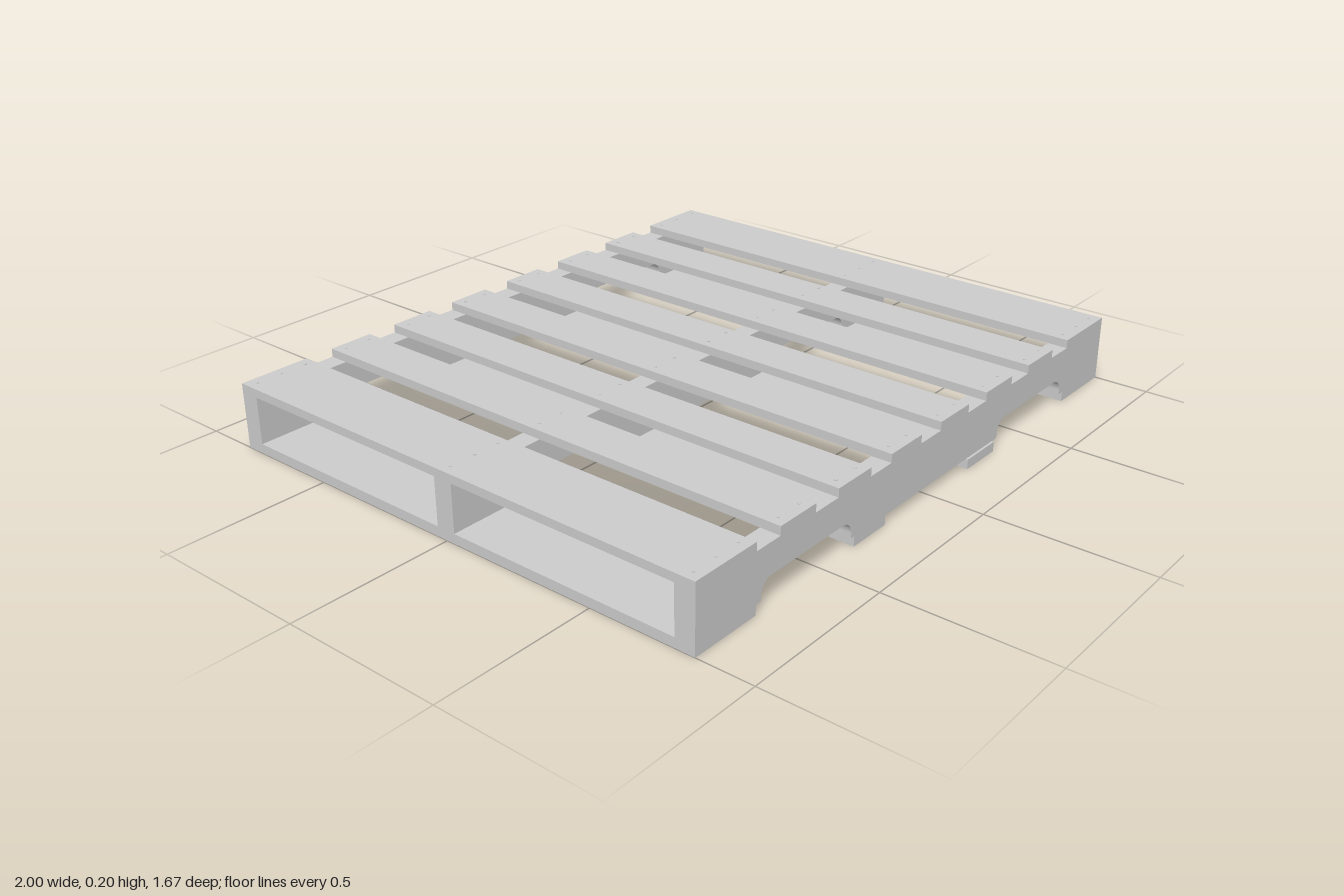
import * as THREE from 'three';

const material = new THREE.MeshStandardMaterial({ color: 0xcccccc });

// Heights of the three layers and the extent of the boards in z
const DECK_BOTTOM = 0.177, DECK_TOP = 0.203, BASE_TOP = 0.03;
const BACK = -0.835, FRONT = 0.828;
const STRINGER_WIDTH = 0.062;
const STRINGER_Z = [BACK + STRINGER_WIDTH / 2, -0.003, FRONT - STRINGER_WIDTH / 2];

function board(name, x0, x1, y0, y1, z0 = BACK, z1 = FRONT) {
  const mesh = new THREE.Mesh(new THREE.BoxGeometry(x1 - x0, y1 - y0, z1 - z0), material);
  mesh.position.set((x0 + x1) / 2, (y0 + y1) / 2, (z0 + z1) / 2);
  mesh.name = name;
  return mesh;
}

// Side outline of a stringer with two round-cornered fork notches
function stringerGeometry() {
  const s = new THREE.Shape();
  const top = 0.085, r = 0.04, half = 0.19;
  s.moveTo(-1, BASE_TOP);
  for (const c of [-0.563, 0.557]) {
    const a = c - half, b = c + half;
    s.lineTo(a, BASE_TOP);
    s.lineTo(a, top - r);
    s.absarc(a + r, top - r, r, Math.PI, Math.PI / 2, true);
    s.lineTo(b - r, top);
    s.absarc(b - r, top - r, r, Math.PI / 2, 0, true);
    s.lineTo(b, BASE_TOP);
  }
  s.lineTo(1, BASE_TOP);
  s.lineTo(1, DECK_BOTTOM);
  s.lineTo(-1, DECK_BOTTOM);
  s.closePath();
  const g = new THREE.ExtrudeGeometry(s, { depth: STRINGER_WIDTH, bevelEnabled: false, curveSegments: 8 });
  return g.translate(0, 0, -STRINGER_WIDTH / 2);
}

export function createModel() {
  const pallet = new THREE.Group();
  pallet.name = 'pallet';

  // Three notched stringers running across x
  const stringer = stringerGeometry();
  for (const z of STRINGER_Z) {
    const mesh = new THREE.Mesh(stringer, material);
    mesh.position.z = z;
    mesh.name = 'stringer';
    pallet.add(mesh);
  }

  // Deck boards, wide at both ends, with nail heads above each stringer
  const deck = [
    [-1, -0.773], [-0.68, -0.535], [-0.438, -0.293], [-0.198, -0.053],
    [0.046, 0.191], [0.288, 0.432], [0.53, 0.675], [0.77, 1],
  ];
  const nailGeometry = new THREE.CylinderGeometry(0.004, 0.004, 0.004, 8);
  const nails = new THREE.Group();
  nails.name = 'nailHeads';
  for (const [x0, x1] of deck) {
    pallet.add(board('deckBoard', x0, x1, DECK_BOTTOM, DECK_TOP));
    const count = x1 - x0 > 0.2 ? 3 : 2;
    for (const z of STRINGER_Z) {
      for (let i = 0; i < count; i++) {
        const nail = new THREE.Mesh(nailGeometry, material);
        nail.position.set(THREE.MathUtils.lerp(x0 + 0.03, x1 - 0.03, i / (count - 1)), DECK_TOP, z);
        nail.name = 'nailHead';
        nails.add(nail);
      }
    }
  }
  pallet.add(nails);

  // Base boards; one inner board sits slightly forward
  pallet.add(board('baseBoard', -1, -0.773, 0, BASE_TOP));
  pallet.add(board('baseBoard', -0.358, -0.214, 0, BASE_TOP));
  pallet.add(board('baseBoard', 0.197, 0.341, 0, BASE_TOP, BACK + 0.007, FRONT + 0.007));
  pallet.add(board('baseBoard', 0.77, 1, 0, BASE_TOP));

  return pallet;
}
